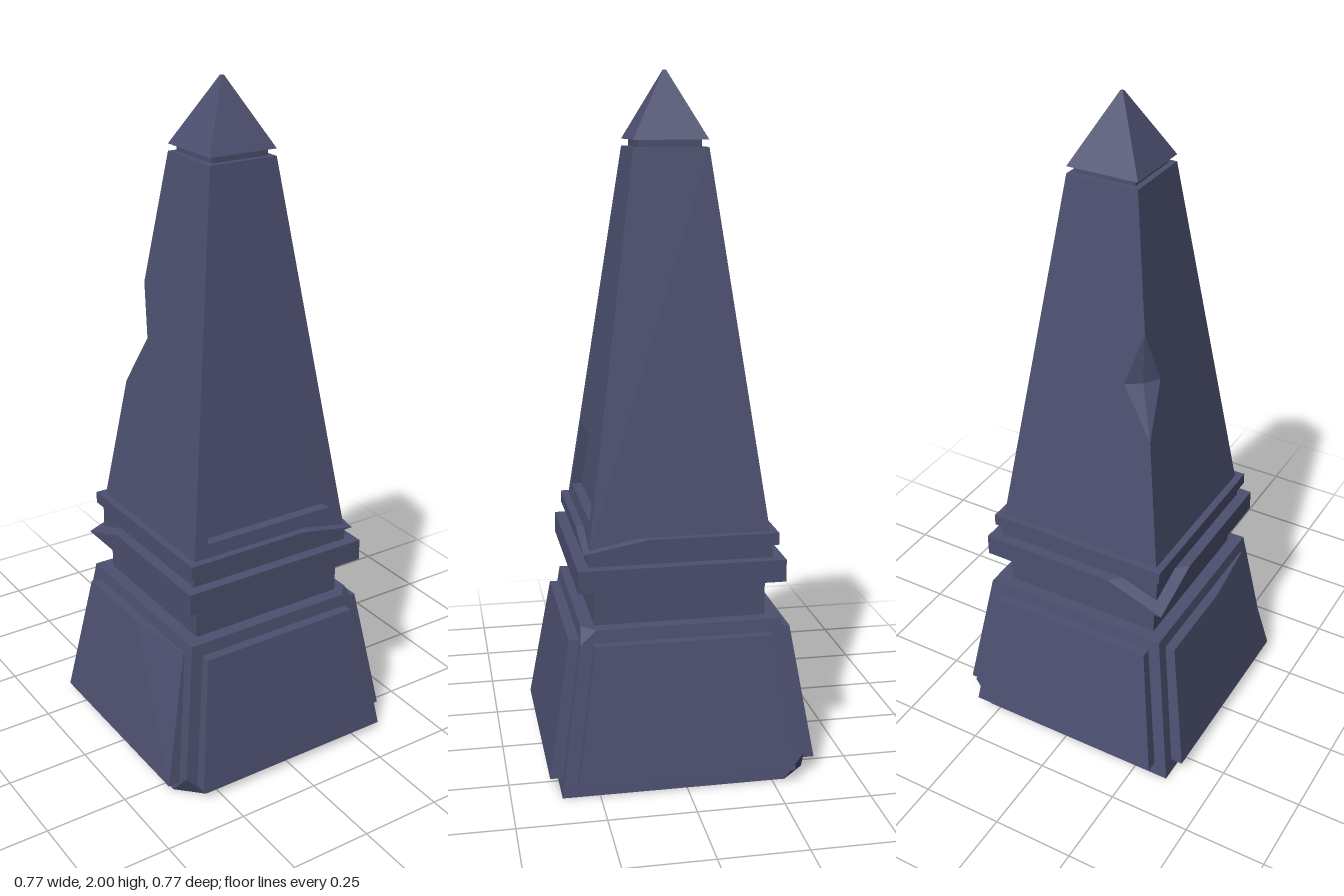
import * as THREE from 'three';
import { mergeGeometries } from 'three/addons/utils/BufferGeometryUtils.js';
import { ConvexGeometry } from 'three/addons/geometries/ConvexGeometry.js';

const stone = new THREE.MeshStandardMaterial({ color: 0x4d5070, flatShading: true });

function addMesh(group, name, geometry) {
  const mesh = new THREE.Mesh(geometry, stone);
  mesh.name = name;
  group.add(mesh);
  return mesh;
}

const hull = (points) => new ConvexGeometry(points.map((p) => new THREE.Vector3(...p)));

// Square block tapering from half-width h0 to h1. A chip swaps one corner
// ([sign x, sign z], top or bottom) for a slanted cut: "run" along the two
// edges and "drop" along the upright edge.
function block(y0, h0, y1, h1, chips = []) {
  const points = [];
  for (const sx of [-1, 1]) for (const sz of [-1, 1]) for (const top of [false, true]) {
    const y = top ? y1 : y0, h = top ? h1 : h0;
    const chip = chips.find((c) => c.x === sx && c.z === sz && c.top === top);
    if (!chip) { points.push([sx * h, y, sz * h]); continue; }
    const yc = top ? y - chip.drop : y + chip.drop;
    const hc = h0 + (h1 - h0) * (yc - y0) / (y1 - y0);
    points.push([sx * (h - chip.run), y, sz * h], [sx * h, y, sz * (h - chip.run)], [sx * hc, yc, sz * hc]);
  }
  return hull(points);
}

// Triangles from a list of corner triples
function triangles(list) {
  const geometry = new THREE.BufferGeometry();
  geometry.setAttribute('position', new THREE.Float32BufferAttribute(list.flat(2), 3));
  geometry.computeVertexNormals();
  return geometry;
}

// Shaft: half-width at a given height
const BOTTOM = 0.69, TOP = 1.79;
const half = (y) => 0.258 - (y - 0.72) * 0.151 / 1.07;

// One sloping shaft side, outlined as (across, height), turned about y
function shaftSide(outline, angle, hole) {
  const shape = new THREE.Shape(outline.map((p) => new THREE.Vector2(...p)));
  if (hole) shape.holes.push(new THREE.Path(hole.map((p) => new THREE.Vector2(...p))));
  const geometry = new THREE.ShapeGeometry(shape).toNonIndexed();
  geometry.deleteAttribute('uv');
  const pos = geometry.attributes.position;
  for (let i = 0; i < pos.count; i++) pos.setZ(i, half(pos.getY(i)));
  geometry.computeVertexNormals();
  return geometry.rotateY(angle);
}

function shaftGeometry() {
  const plain = [[-half(BOTTOM), BOTTOM], [half(BOTTOM), BOTTOM], [half(TOP), TOP], [-half(TOP), TOP]];
  const inset = [[-0.21, 0.76], [0.21, 0.76], [0.185, 0.96], [-0.185, 0.96]];

  // Broken arris on the back right corner
  const lo = 1.1, mid = 1.25, hi = 1.41, reach = 0.11, deep = 0.153;
  const broken = [plain[0], plain[1], [half(lo), lo], [reach, mid], [half(hi), hi], plain[2], plain[3]];
  const mirrored = broken.map(([u, y]) => [-u, y]).reverse();
  const t = [-half(hi), hi, -half(hi)], b = [-half(lo), lo, -half(lo)];
  const l = [-reach, mid, -half(mid)], r = [-half(mid), mid, -reach], c = [-deep, mid, -deep];

  // Walls and back of the sunk tablet
  const rim = inset.map(([u, y]) => [u, y, half(y)]);
  const back = inset.map(([u, y]) => [u, y, half(y) - 0.03]);
  const recess = [[back[0], back[1], back[2]], [back[0], back[2], back[3]]];
  for (let i = 0; i < 4; i++) {
    const j = (i + 1) % 4;
    recess.push([rim[i], rim[j], back[j]], [rim[i], back[j], back[i]]);
  }

  const h = half(TOP);
  return mergeGeometries([
    shaftSide(plain, 0, inset),
    shaftSide(plain, Math.PI / 2),
    shaftSide(broken, Math.PI),
    shaftSide(mirrored, -Math.PI / 2),
    triangles([[t, l, c], [l, b, c], [b, r, c], [r, t, c]]),
    triangles(recess),
    triangles([[[-h, TOP, h], [h, TOP, h], [h, TOP, -h]], [[-h, TOP, h], [h, TOP, -h], [-h, TOP, -h]]]),
  ]);
}

// Raised plinth panel facing +z, optionally worn away at one upper corner
function panelGeometry(worn) {
  const points = [[-0.255, 0.43, 0.322]];
  for (const s of [-1, 1]) points.push([s * 0.313, 0.04, 0.387], [s * 0.313, 0.04, 0.33], [s * 0.255, 0.43, 0.27]);
  if (worn) points.push([0.03, 0.43, 0.322], [0.255, 0.43, 0.297]);
  else points.push([0.255, 0.43, 0.322]);
  return hull(points);
}

export function createModel() {
  const group = new THREE.Group();
  group.name = 'obelisk';

  // Plinth with chipped corners
  addMesh(group, 'plinth', block(0, 0.357, 0.467, 0.287, [
    { x: -1, z: 1, top: false, run: 0.07, drop: 0.07 },
    { x: 1, z: -1, top: false, run: 0.07, drop: 0.07 },
    { x: 1, z: 1, top: true, run: 0.04, drop: 0.04 },
  ]));
  ['front', 'left', 'back', 'right'].forEach((side, i) => {
    addMesh(group, side + 'PlinthPanel', panelGeometry(side === 'right')).rotation.y = i * Math.PI / 2;
  });

  // Neck and mouldings
  addMesh(group, 'neck', block(0.46, 0.248, 0.59, 0.248));
  addMesh(group, 'wideBand', block(0.58, 0.298, 0.645, 0.298, [
    { x: -1, z: -1, top: true, run: 0.178, drop: 0.064 },
  ]));
  addMesh(group, 'step', block(0.59, 0.265, 0.69, 0.265));
  addMesh(group, 'narrowBand', block(0.685, 0.28, 0.72, 0.28, [
    { x: 1, z: 1, top: true, run: 0.18, drop: 0.034 },
  ]));

  // Shaft, groove and pointed cap
  addMesh(group, 'shaft', shaftGeometry());
  addMesh(group, 'groove', block(1.78, 0.09, 1.82, 0.09));
  addMesh(group, 'cap', block(1.81, 0.107, 2, 0.004));
  return group;
}
